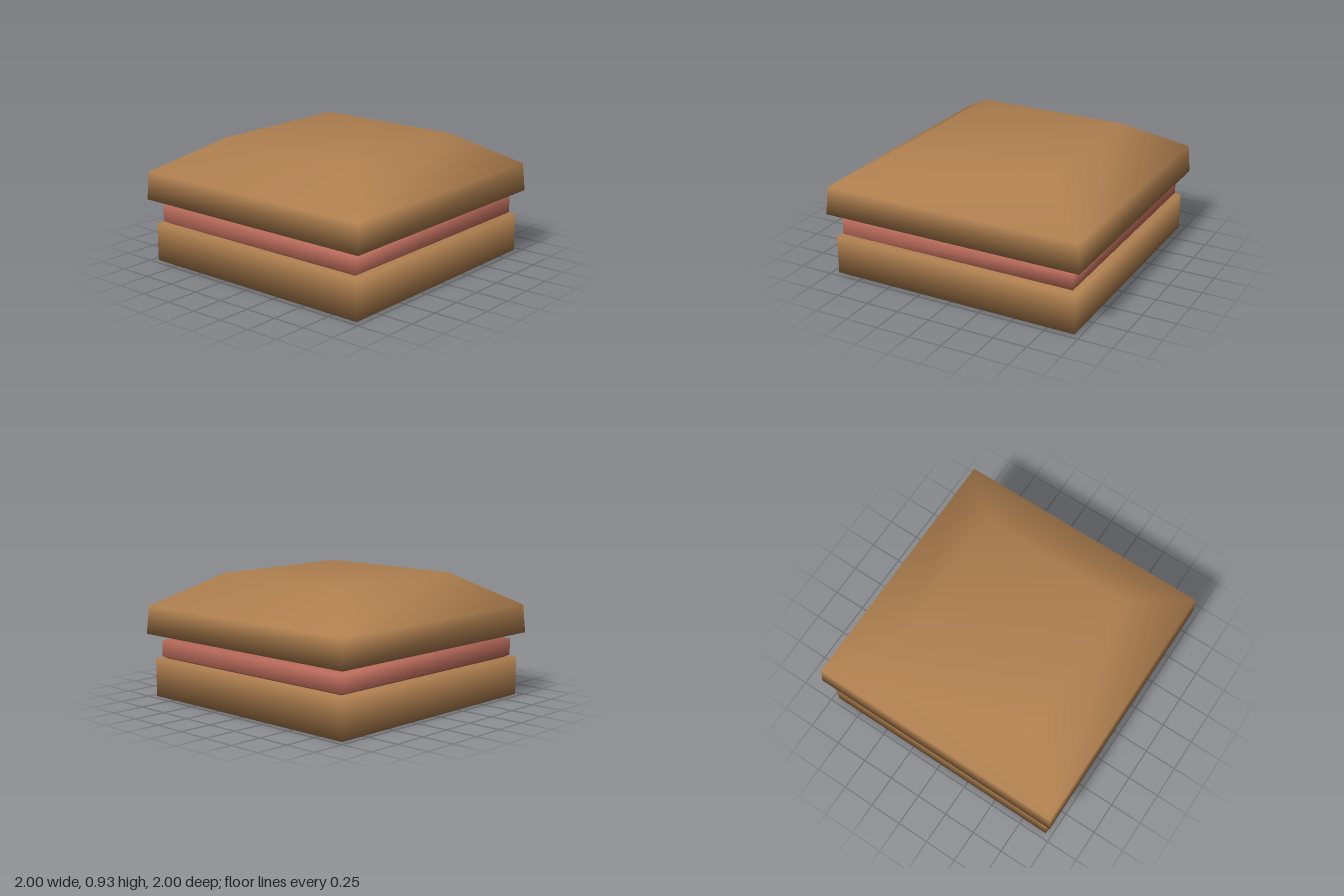
import * as THREE from 'three';

// Closed, smooth-shaded stack of square rings; each ring is [half width, height].
function loft(name, color, rings) {
  const pos = [], index = [];
  const corners = [[1, 1], [1, -1], [-1, -1], [-1, 1]];
  for (const [h, y] of rings) {
    for (const [sx, sz] of corners) pos.push(sx * h, y, sz * h);
  }
  for (let r = 0; r < rings.length - 1; r++) {
    for (let i = 0; i < 4; i++) {
      const a = r * 4 + i, b = r * 4 + (i + 1) % 4;
      index.push(a, b, b + 4, a, b + 4, a + 4);
    }
  }
  const t = (rings.length - 1) * 4;
  index.push(0, 2, 1, 0, 3, 2); // bottom cap
  index.push(t, t + 1, t + 2, t, t + 2, t + 3); // top cap
  const geo = new THREE.BufferGeometry();
  geo.setAttribute('position', new THREE.Float32BufferAttribute(pos, 3));
  geo.setIndex(index);
  geo.computeVertexNormals();
  const mesh = new THREE.Mesh(geo, new THREE.MeshStandardMaterial({ color }));
  mesh.name = name;
  return mesh;
}

// Thin sheet whose front and back tongues droop over the patty's bevel.
function cheeseSlice() {
  const rows = [[-0.85, 0.33, 0.455], [-0.77, 0.78, 0.471], [0.77, 0.78, 0.471], [0.85, 0.33, 0.455]];
  const pos = [], index = [];
  for (const [z, half, y] of rows) pos.push(-half, y, z, half, y, z);
  for (let r = 0; r < rows.length - 1; r++) {
    const a = r * 2;
    index.push(a, a + 2, a + 3, a, a + 3, a + 1);
  }
  const geo = new THREE.BufferGeometry();
  geo.setAttribute('position', new THREE.Float32BufferAttribute(pos, 3));
  geo.setIndex(index);
  geo.computeVertexNormals();
  const mesh = new THREE.Mesh(geo, new THREE.MeshStandardMaterial({ color: 0xd8c000, side: THREE.DoubleSide }));
  mesh.name = 'cheese';
  return mesh;
}

export function createModel() {
  const group = new THREE.Group();
  group.name = 'burger';
  const bun = 0xb08050;
  group.add(
    loft('bottomBun', bun, [[0.955, 0], [0.955, 0.287]]),
    loft('patty', 0xb86a5a, [[0.89, 0.287], [0.92, 0.305], [0.92, 0.425], [0.78, 0.468]]),
    cheeseSlice(),
    loft('topBun', bun, [[1, 0.475], [0.985, 0.685], [0.585, 0.93]])
  );
  return group;
}
